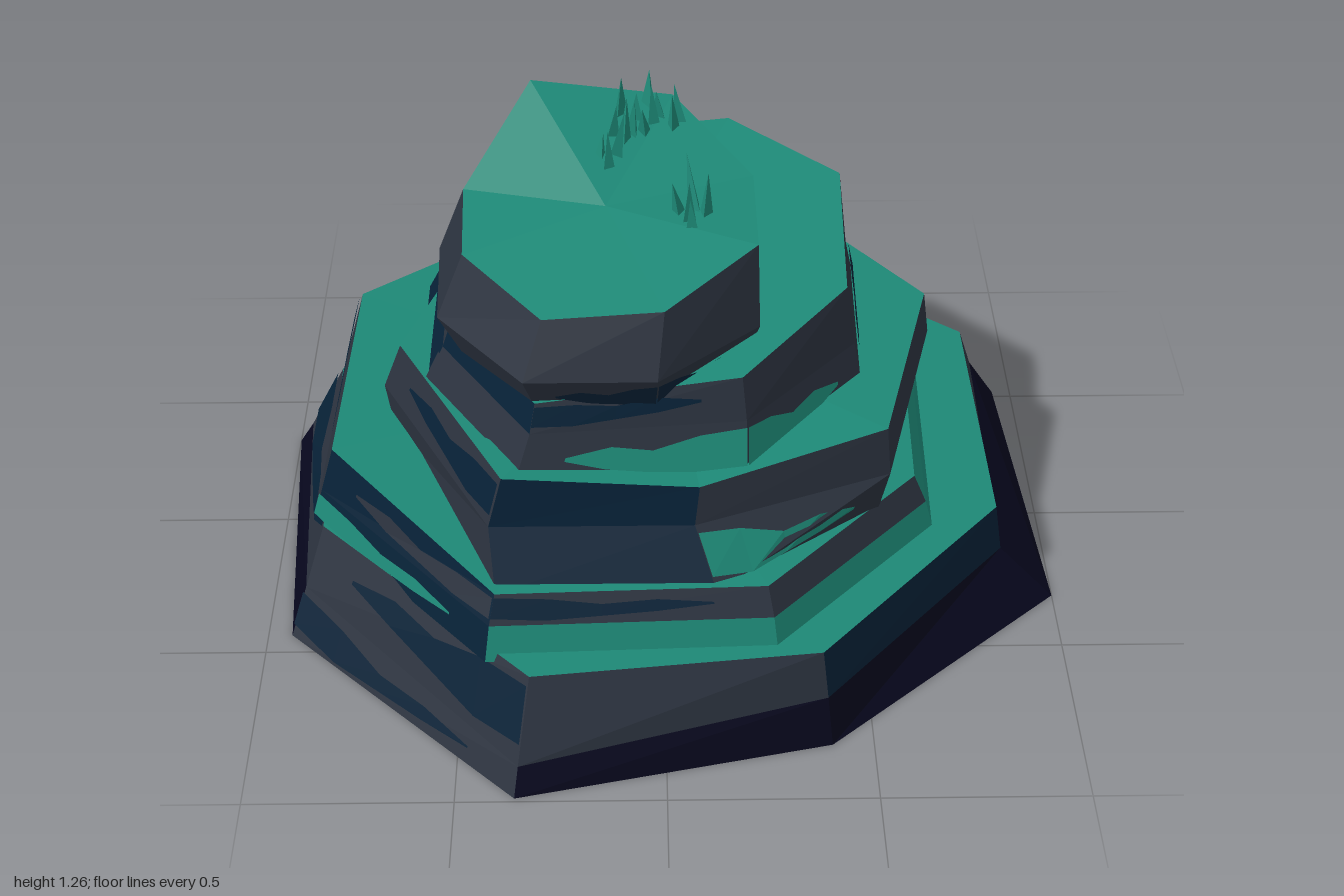
import * as THREE from 'three';

const material = (name, color) => {
  const m = new THREE.MeshStandardMaterial({ color });
  m.name = name;
  return m;
};

// Copy of an outline, scaled about its middle, shifted and laid at one height
function ring(outline, scale, y, dx = 0, dz = 0) {
  const [cx, , cz] = middle(outline);
  return outline.map(p => [cx + (p[0] - cx) * scale + dx, y, cz + (p[2] - cz) * scale + dz]);
}

const middle = pts => [0, 1, 2].map(k => pts.reduce((s, p) => s + p[k], 0) / pts.length);

// Point on a panel with corners a b c d, split along a-c and lifted slightly
function onPanel([a, b, c, d], u, v) {
  const A = new THREE.Vector3(...a), B = new THREE.Vector3(...b);
  const C = new THREE.Vector3(...c), D = new THREE.Vector3(...d);
  const w = u >= v ? [1 - u, u - v, v, 0] : [1 - v, 0, u, v - u];
  const p = C.clone().sub(A).cross(D.clone().sub(B)).setLength(0.006);
  [A, B, C, D].forEach((q, i) => p.addScaledVector(q, w[i]));
  return p.toArray();
}

// Streak shape: distance along the panel, lower edge, upper edge
const STREAK = [[0, 0.25, 0.9], [0.2, 0.15, 0.82], [0.4, 0.25, 0.62], [0.6, 0.35, 0.72], [0.8, 0.52, 0.58]];

export function createModel() {
  const model = new THREE.Group();
  model.name = 'layeredRock';
  const mats = {
    g: material('slate', 0x2b323e),
    n: material('navy', 0x072136),
    k: material('indigo', 0x07071d),
    t: material('moss', 0x1d8876),
  };

  // One rock tier: two rows of side panels with streaks, and a mossy top.
  // Each letter is the colour of one panel, '-' is none.
  function tier(name, [foot, mid, rim], [lower, upper], [lowStreaks, highStreaks], underside) {
    const faces = { g: [], n: [], k: [], t: [] };
    const tri = (key, ...p) => p.forEach(q => faces[key].push(...q));
    const quad = (key, [a, b, c, d]) => { tri(key, a, b, c); tri(key, a, c, d); };
    const streak = (key, panel, flip) => {
      if (key === '-') return;
      for (let s = 0; s < STREAK.length - 1; s++) {
        const [u0, l0, h0] = STREAK[s], [u1, l1, h1] = STREAK[s + 1];
        const corners = flip
          ? [[1 - u1, l1], [1 - u0, l0], [1 - u0, h0], [1 - u1, h1]]
          : [[u0, l0], [u1, l1], [u1, h1], [u0, h0]];
        quad(key, corners.map(q => onPanel(panel, ...q)));
      }
    };
    const top = middle(rim), base = middle(foot);

    for (let i = 0; i < rim.length; i++) {
      const j = (i + 1) % rim.length;
      const low = [foot[j], foot[i], mid[i], mid[j]];
      const high = [mid[j], mid[i], rim[i], rim[j]];
      quad(lower[i], low);
      quad(upper[i], high);
      streak(lowStreaks[i], low, i % 2 === 1);
      streak(highStreaks[i], high, i % 2 === 0);
      tri('t', top, rim[j], rim[i]);
      tri(underside[i], base, foot[i], foot[j]);
    }

    const group = new THREE.Group();
    group.name = name;
    for (const key in faces) {
      if (!faces[key].length) continue;
      const geo = new THREE.BufferGeometry();
      geo.setAttribute('position', new THREE.Float32BufferAttribute(faces[key], 3));
      geo.computeVertexNormals();
      const mesh = new THREE.Mesh(geo, mats[key]);
      mesh.name = `${name} ${mats[key].name}`;
      group.add(mesh);
    }
    model.add(group);
  }

  // Outlines run from the left of the plan, round the back, right and front
  const ground = [[-1, 0, -0.33], [-0.48, 0, -0.9], [0.3, 0, -1], [0.95, 0, -0.52],
    [1, 0, 0.32], [0.4, 0, 0.83], [-0.36, 0, 0.99], [-0.94, 0, 0.44]];
  const baseMid = [[-0.96, 0.07, -0.32], [-0.45, 0.1, -0.87], [0.28, 0.13, -0.94], [0.87, 0.14, -0.48],
    [0.86, 0.14, 0.29], [0.385, 0.14, 0.81], [-0.35, 0.07, 0.955], [-0.9, 0.12, 0.39]];
  const baseRim = [[-0.86, 0.27, -0.31], [-0.42, 0.27, -0.82], [0.26, 0.27, -0.89], [0.83, 0.27, -0.45],
    [0.84, 0.27, 0.28], [0.37, 0.27, 0.79], [-0.32, 0.27, 0.86], [-0.85, 0.27, 0.33]];
  tier('baseTier', [ground, baseMid, baseRim],
    ['gkkkkkgk', 'gnngnggg'], ['------n-', 'ngg---nn'], 'kkgkkkkk');

  const lowRim = [[-0.8, 0.46, -0.39], [-0.34, 0.45, -0.75], [0.27, 0.45, -0.77], [0.64, 0.42, -0.32],
    [0.62, 0.41, 0.32], [0.24, 0.41, 0.71], [-0.4, 0.41, 0.73], [-0.82, 0.46, 0.26]];
  tier('lowTier', [ring(lowRim, 1.08, 0.25), ring(lowRim, 1.045, 0.34), lowRim],
    ['gnntttng', 'gnntggng'], ['n-t---t-', 'n----ngn'], 'gggggggg');

  const middleFoot = [[-0.56, 0.41, -0.33], [-0.11, 0.41, -0.72], [0.34, 0.4, -0.63], [0.62, 0.38, -0.13],
    [0.52, 0.38, 0.42], [0.12, 0.39, 0.71], [-0.4, 0.39, 0.71], [-0.68, 0.41, 0.1]];
  const middleRim = [[-0.51, 0.66, -0.3], [-0.1, 0.65, -0.62], [0.34, 0.63, -0.57], [0.67, 0.66, -0.1],
    [0.53, 0.66, 0.44], [0.08, 0.63, 0.61], [-0.38, 0.66, 0.61], [-0.65, 0.66, 0.1]];
  tier('middleTier', [middleFoot, ring(middleRim, 1.05, 0.53, -0.015, -0.01), middleRim],
    ['gtgggngg', 'gtgggngg'], ['----t--t', '------nn'], 'gggggggg');

  const highRim = [[-0.51, 0.86, -0.2], [-0.25, 0.92, -0.46], [0.18, 0.94, -0.5], [0.45, 0.95, -0.22],
    [0.44, 0.9, 0.2], [0.18, 0.85, 0.48], [-0.3, 0.81, 0.52], [-0.51, 0.81, 0.2]];
  tier('highTier', [ring(highRim, 1.15, 0.6, -0.02), ring(highRim, 1.05, 0.74), highRim],
    ['ggnggggn', 'ngngggng'], ['tt-nttg-', '-----n-n'], 'gggggggg');

  const crownRim = [[-0.48, 1.05, -0.01], [-0.32, 1.21, -0.25], [0.03, 1.16, -0.26], [0.22, 1.09, 0],
    [0.22, 1.09, 0.29], [0, 1.04, 0.48], [-0.28, 1.02, 0.48], [-0.47, 1.04, 0.25]];
  tier('crownTier', [ring(crownRim, 0.98, 0.77, -0.02, 0.02), ring(crownRim, 1.1, 0.89, -0.03, 0.03), crownRim],
    ['gggggggg', 'gggggggg'], ['-n-nnn--', 'n-nn----'], 'gggggggg');

  // Grass: slim three-sided blades, [x, z, ground height, blade height]
  const blades = [
    [0.04, 0.15, 1.08, 0.1], [0.06, 0.18, 1.08, 0.13], [0.08, 0.14, 1.08, 0.16], [0.1, 0.16, 1.08, 0.13], [0.07, 0.21, 1.07, 0.1],
    [-0.15, -0.03, 1.11, 0.09], [-0.13, 0, 1.1, 0.12], [-0.11, -0.05, 1.11, 0.16], [-0.09, -0.09, 1.12, 0.13],
    [-0.12, -0.11, 1.13, 0.11], [-0.07, -0.12, 1.13, 0.12], [-0.1, -0.18, 1.15, 0.12], [-0.06, -0.17, 1.15, 0.08],
    [-0.04, -0.13, 1.13, 0.1], [-0.02, -0.16, 1.13, 0.12], [0, -0.19, 1.14, 0.09], [0.03, -0.15, 1.12, 0.12],
    [0.05, -0.17, 1.12, 0.13], [-0.03, -0.22, 1.16, 0.1],
  ];
  const grass = new THREE.Group();
  grass.name = 'grass';
  blades.forEach(([x, z, y, h], i) => {
    const geo = new THREE.ConeGeometry(0.021, h, 3).toNonIndexed();
    geo.computeVertexNormals();
    geo.translate(0, h / 2, 0);
    const blade = new THREE.Mesh(geo, mats.t);
    blade.name = 'grassBlade';
    blade.position.set(x, y - 0.01, z);
    blade.rotation.set(0.16 * Math.sin(i * 2.1), i * 1.3, 0.18 * Math.cos(i * 1.7));
    grass.add(blade);
  });
  model.add(grass);
  return model;
}
